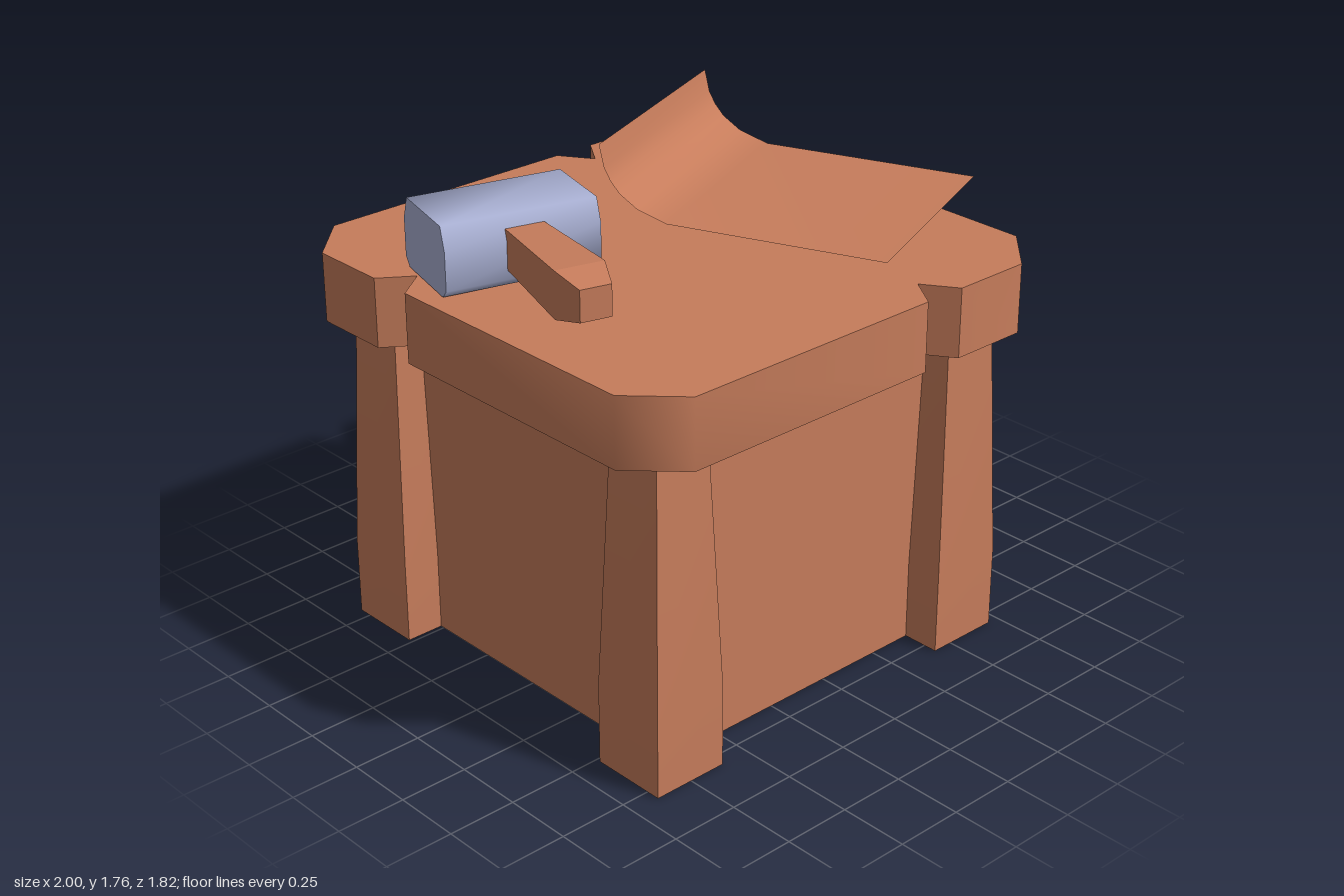
import * as THREE from 'three';
import { toCreasedNormals } from 'three/addons/utils/BufferGeometryUtils.js';

const wood = new THREE.MeshStandardMaterial({ color: 0xc67c5b, side: THREE.DoubleSide });
wood.name = 'wood';
const steel = new THREE.MeshStandardMaterial({ color: 0xa9b0d3 });
steel.name = 'steel';

function part(name, geometry, material, crease = 0.1) {
  const mesh = new THREE.Mesh(crease ? toCreasedNormals(geometry, crease) : geometry, material);
  mesh.name = name;
  return mesh;
}

// Moves each vertex of a geometry by a rule
function reshape(geometry, rule) {
  const pos = geometry.attributes.position;
  const v = new THREE.Vector3();
  for (let i = 0; i < pos.count; i++) {
    v.fromBufferAttribute(pos, i);
    rule(v);
    pos.setXYZ(i, v.x, v.y, v.z);
  }
  geometry.computeVertexNormals();
  return geometry;
}

const outline = (points) => new THREE.Shape(points.map(([x, y]) => new THREE.Vector2(x, y)));

// Slab with cut corners and three notches, drawn as x, z
function makeTop() {
  const shape = outline([
    [-1, -0.74], [-0.83, -0.91], [0.165, -0.91], [0.245, -0.79], [0.325, -0.91],
    [0.64, -0.91], [0.81, -0.74], [0.81, 0.735], [0.64, 0.905], [0.345, 0.905],
    [0.265, 0.785], [0.185, 0.905], [-0.83, 0.905], [-1, 0.735],
    [-1, -0.285], [-0.885, -0.37], [-1, -0.45],
  ]);
  const geo = new THREE.ExtrudeGeometry(shape, { depth: 0.25, bevelEnabled: false });
  geo.rotateX(Math.PI / 2).translate(0, 1.45, 0);
  return part('tableTop', geo, wood, 0.87);
}

// Straight foot, tapering above y = 0.3
function makeLeg() {
  return reshape(new THREE.BoxGeometry(0.285, 2, 0.285, 1, 2, 1), (v) => {
    if (v.y > 0.5) {
      v.x *= 0.755;
      v.z *= 0.755;
    }
    v.y = v.y > 0.5 ? 1.2 : v.y < -0.5 ? 0 : 0.3;
  });
}

// Sheet that is flat at the front and curls up at the back
function makeSheet() {
  const profile = [[0, 1.76], [0.018, 1.68], [0.042, 1.635], [0.075, 1.595], [0.14, 1.55], [0.25, 1.515], [1.04, 1.515]];
  const n = profile.length - 1;
  const geo = reshape(new THREE.PlaneGeometry(0.855, 1, 1, n), (v) => {
    const [d, y] = profile[Math.round((0.5 - v.y) * n)];
    v.set(v.x, y, d);
  });
  const sheet = part('curledSheet', geo, wood, 0);
  sheet.position.set(0.205, 0, -0.4225);
  sheet.rotation.y = 0.39;
  return sheet;
}

function makeHammer() {
  const hammer = new THREE.Group();
  hammer.name = 'hammer';

  // Head with bevelled long edges
  const half = [[0.14, 1.455], [0.17, 1.485], [0.17, 1.62], [0.14, 1.7]];
  const section = outline([...half, ...half.map(([x, y]) => [-x, y]).reverse()]);
  const head = new THREE.ExtrudeGeometry(section, { depth: 0.55, bevelEnabled: false });
  head.translate(0, 0, -0.275).rotateY(Math.PI / 2);
  hammer.add(part('hammerHead', head, steel, 1.3));

  // Four-sided handle, widening to a blunt tip: z, half width, half height
  const rings = [[-0.26, 0.057, 0.05], [0.18, 0.07, 0.07], [0.565, 0.087, 0.083], [0.68, 0.055, 0.055]];
  const handle = reshape(new THREE.BoxGeometry(2, 2, 3, 1, 1, 3), (v) => {
    const [z, w, h] = rings[Math.round(v.z + 1.5)];
    v.set(0.01 + v.x * w, 1.587 + v.y * h, z);
  });
  hammer.add(part('hammerHandle', handle, wood));

  hammer.position.set(-0.635, 0, -0.23);
  hammer.rotation.y = -0.262;
  return hammer;
}

export function createModel() {
  const model = new THREE.Group();
  model.name = 'workbench';
  model.add(makeTop());

  const body = new THREE.BoxGeometry(1.315, 1.2, 1.32).translate(-0.095, 0.6, 0);
  model.add(part('body', body, wood));

  for (const sx of [-1, 1]) {
    for (const sz of [-1, 1]) {
      const leg = part(`${sz > 0 ? 'front' : 'back'}${sx > 0 ? 'Left' : 'Right'}Leg`, makeLeg(), wood);
      leg.position.set(-0.095 + sx * 0.6575, 0, sz * 0.658);
      model.add(leg);
    }
  }

  model.add(makeSheet(), makeHammer());
  return model;
}
